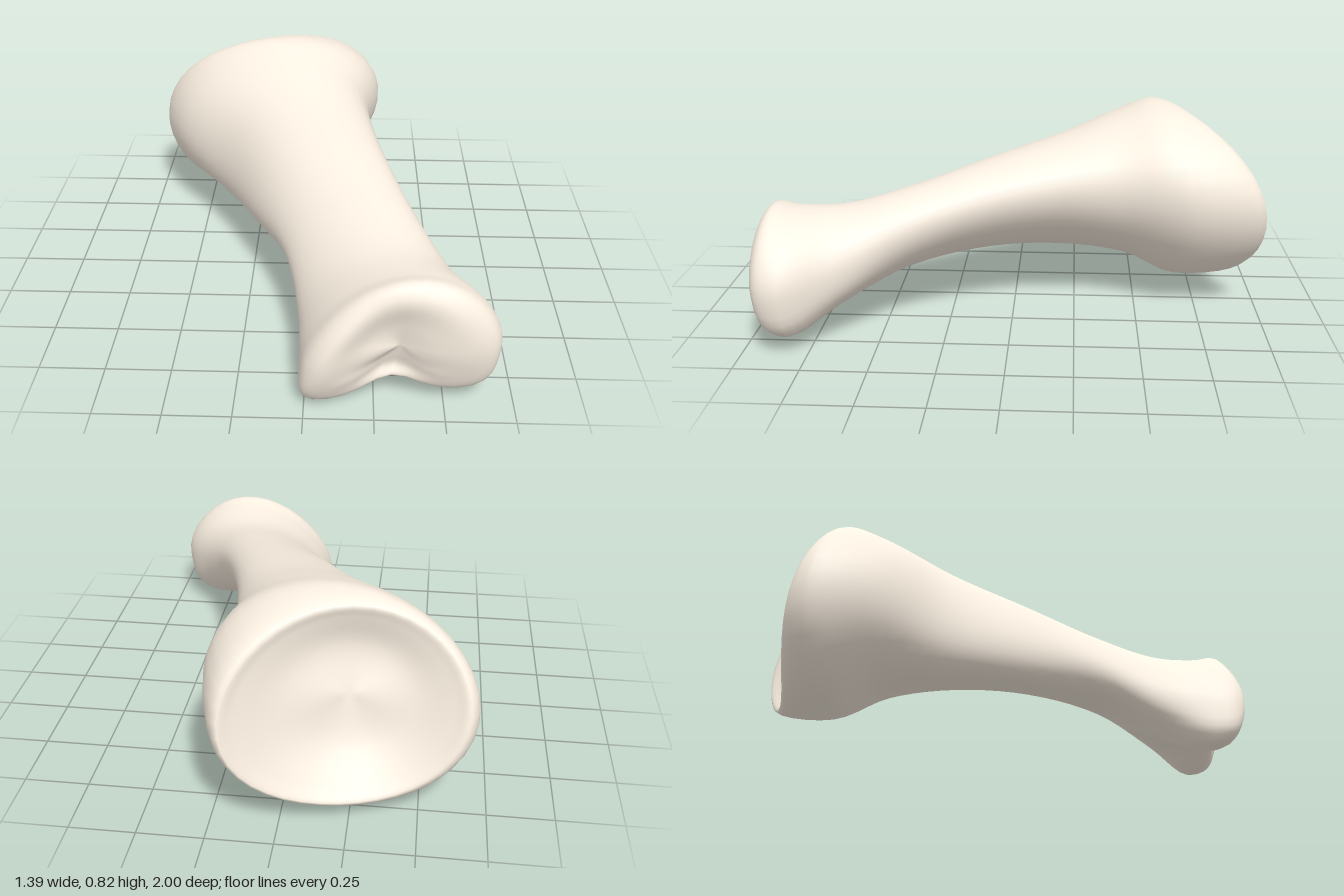
import * as THREE from 'three';
import { mergeVertices } from 'three/addons/utils/BufferGeometryUtils.js';

const AROUND = 40, STEPS = 5;

// A cross-section is given by its right, top, left and bottom points;
// n squares off its lower corners and notch lifts the middle of its underside.
const section = (r, t, l, b, n = 2, notch = 0) => ({ pts: [r, t, l, b].map(p => new THREE.Vector3(...p)), n, notch });

// Smooth closed loop through the four points
function loop({ pts: [r, t, l, b], n, notch }) {
  const centre = r.clone().add(t).add(l).add(b).multiplyScalar(0.25);
  const across = r.clone().sub(l).multiplyScalar(0.5);
  const up = t.clone().sub(b).multiplyScalar(0.5);
  const skew = r.clone().add(l).sub(t).sub(b).multiplyScalar(0.25);
  return Array.from({ length: AROUND }, (_, j) => {
    const a = j / AROUND * Math.PI * 2, c = Math.cos(a), s = Math.sin(a);
    const k = s < 0 ? (Math.abs(c) ** n + Math.abs(s) ** n) ** (-1 / n) : 1;
    const p = centre.clone().addScaledVector(across, c * k).addScaledVector(up, s * k)
      .addScaledVector(skew, Math.cos(2 * a));
    if (s < 0) p.y += notch * Math.exp(-(((p.x - 0.31) / 0.11) ** 2));
    return p;
  });
}

// Copy of a loop drawn in towards its middle and moved along z
function shrink(points, k, dz) {
  const mid = points.reduce((m, p) => m.add(p), new THREE.Vector3()).divideScalar(points.length);
  return points.map(p => mid.clone().lerp(p, k).add(new THREE.Vector3(0, 0, dz)));
}

// Upright groove between the two knuckles, fading out towards the top
function groove(points) {
  points.forEach(p => {
    const fade = THREE.MathUtils.clamp((0.5 - p.y) / 0.25, 0, 1);
    p.z -= 0.06 * fade * Math.exp(-(((p.x - 0.3) / 0.12) ** 2));
  });
  return points;
}

// Skin over the loops, rounded lengthwise by curves
function skin(loops) {
  const rows = (loops.length - 1) * STEPS, position = [], index = [];
  for (let j = 0; j < AROUND; j++) {
    const curve = new THREE.CatmullRomCurve3(loops.map(l => l[j]));
    for (let i = 0; i <= rows; i++) position.push(...curve.getPoint(i / rows).toArray());
  }
  for (let j = 0; j < AROUND; j++) {
    for (let i = 0; i < rows; i++) {
      const a = j * (rows + 1) + i, b = ((j + 1) % AROUND) * (rows + 1) + i;
      index.push(a, b, a + 1, b, b + 1, a + 1);
    }
  }
  let geometry = new THREE.BufferGeometry();
  geometry.setAttribute('position', new THREE.Float32BufferAttribute(position, 3));
  geometry.setIndex(index);
  geometry = mergeVertices(geometry, 1e-4);
  geometry.computeVertexNormals();
  return geometry;
}

export function createModel() {
  const group = new THREE.Group();
  group.name = 'fingerBone';

  // Flared base: rim of the cup
  const rim = loop(section([0.2, 0.46, -0.99], [-0.24, 0.755, -0.65], [-0.67, 0.38, -0.74], [-0.22, 0.05, -0.86]));

  // Base, waisted shaft and two-knuckled head
  const body = [
    section([0.285, 0.45, -0.72], [-0.18, 0.787, -0.56], [-0.7, 0.39, -0.67], [-0.26, 0.01, -0.66]),
    section([0.235, 0.46, -0.42], [-0.15, 0.745, -0.42], [-0.61, 0.41, -0.45], [-0.26, 0.1, -0.47]),
    section([0.25, 0.46, -0.2], [-0.06, 0.67, -0.2], [-0.385, 0.4, -0.2], [-0.2, 0.145, -0.2]),
    section([0.32, 0.43, 0.1], [0.06, 0.59, 0.1], [-0.22, 0.36, 0.1], [-0.06, 0.175, 0.1]),
    section([0.43, 0.36, 0.4], [0.2, 0.51, 0.4], [-0.085, 0.29, 0.4], [0.14, 0.165, 0.4]),
    section([0.57, 0.26, 0.65], [0.28, 0.457, 0.65], [-0.03, 0.17, 0.65], [0.28, 0.07, 0.65], 2.6, 0.02),
    section([0.69, 0.21, 0.83], [0.36, 0.472, 0.83], [-0.015, 0.14, 0.83], [0.31, 0, 0.81], 4, 0.075),
    section([0.675, 0.21, 0.92], [0.365, 0.485, 0.91], [0, 0.14, 0.95], [0.31, 0.03, 0.9], 4, 0.06),
    section([0.6, 0.22, 0.955], [0.36, 0.43, 0.96], [0.07, 0.17, 0.995], [0.32, 0.1, 0.94], 3, 0.03),
  ].map(loop);
  const face = body[body.length - 1];

  // Hollow of the cup at the back, grooved face at the front
  const loops = [
    shrink(rim, 0, 0.14), shrink(rim, 0.5, 0.11), shrink(rim, 0.86, 0.03), rim,
    ...body.slice(0, -1),
    groove(shrink(face, 1, 0)), groove(shrink(face, 0.5, 0)), groove(shrink(face, 0, 0)),
  ];

  const bone = new THREE.Mesh(skin(loops), new THREE.MeshStandardMaterial({ color: 0xfbf0e2 }));
  bone.name = 'bone';
  group.add(bone);
  return group;
}
